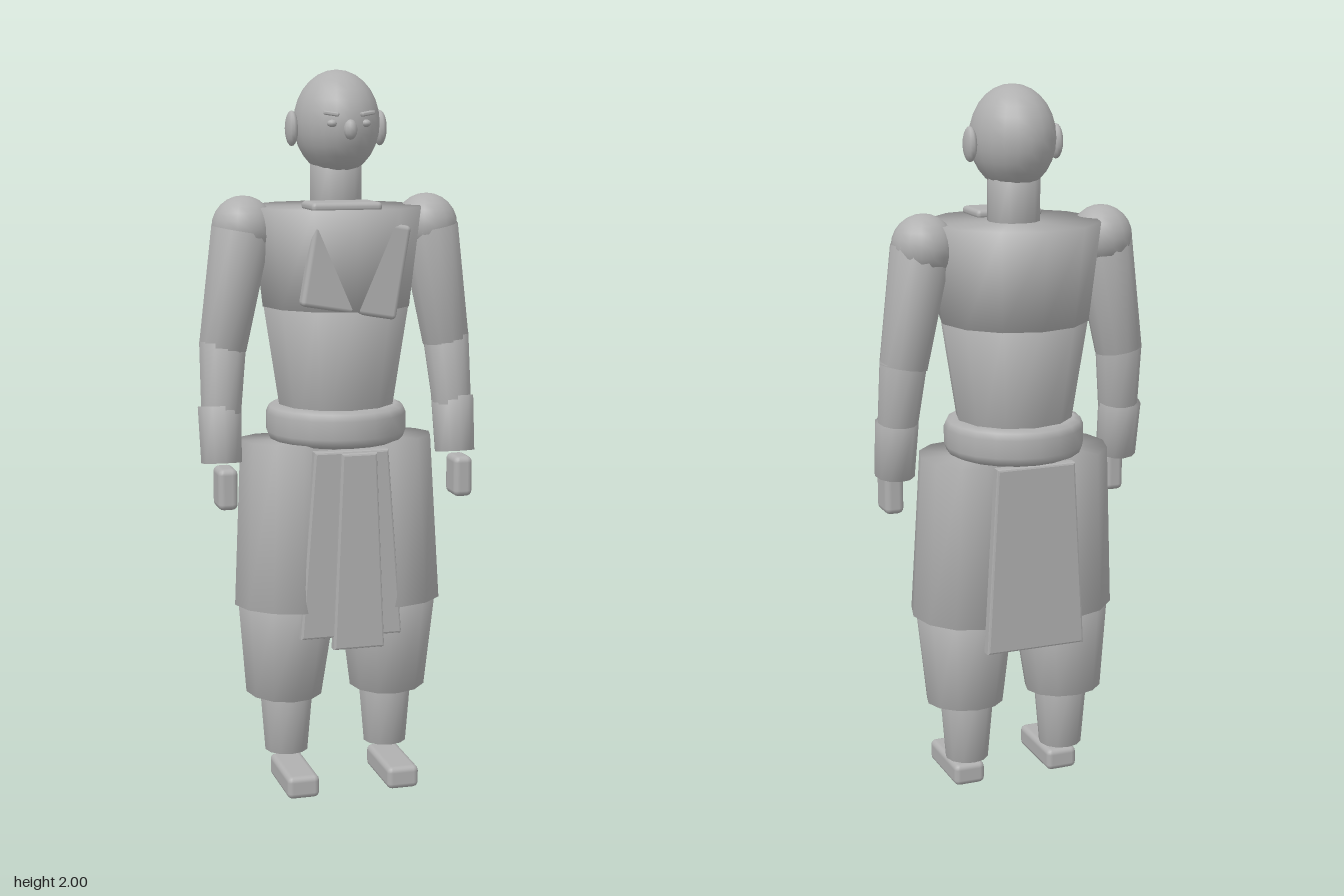
import * as THREE from 'three';
import { mergeVertices } from 'three/addons/utils/BufferGeometryUtils.js';
import { RoundedBoxGeometry } from 'three/addons/geometries/RoundedBoxGeometry.js';

const clay = new THREE.MeshStandardMaterial({ color: 0xb0b0b0 });
clay.name = 'clay grey';

// Weld caps to walls so the shading rolls softly over the rims
function soften(geometry) {
  geometry.deleteAttribute('normal');
  geometry.deleteAttribute('uv');
  const welded = mergeVertices(geometry, 1e-4);
  welded.computeVertexNormals();
  return welded;
}

function add(parent, name, geometry, x = 0, y = 0, z = 0) {
  const mesh = new THREE.Mesh(geometry, clay);
  mesh.name = name;
  mesh.position.set(x, y, z);
  parent.add(mesh);
  return mesh;
}

// Tapered tube from a top point to a bottom point
function limb(parent, name, top, bottom, rTop, rBottom, sides = 12) {
  const a = new THREE.Vector3(...top), b = new THREE.Vector3(...bottom);
  const dir = a.clone().sub(b);
  const mesh = add(parent, name, soften(new THREE.CylinderGeometry(rTop, rBottom, dir.length(), sides)));
  mesh.position.copy(a).add(b).multiplyScalar(0.5);
  mesh.quaternion.setFromUnitVectors(new THREE.Vector3(0, 1, 0), dir.normalize());
  return mesh;
}

function ball(parent, name, x, y, z, rx, ry, rz, w = 16, h = 12) {
  const mesh = add(parent, name, new THREE.SphereGeometry(1, w, h), x, y, z);
  mesh.scale.set(rx, ry, rz);
  return mesh;
}

function box(parent, name, w, h, d, x, y, z, r = 0.01) {
  return add(parent, name, new RoundedBoxGeometry(w, h, d, 2, r), x, y, z);
}

// Flared cloth panel hanging from yTop to yBottom, with a slim bevel
function panel(parent, name, x, yTop, yBottom, halfTop, halfBottom, z0, z1) {
  const s = new THREE.Shape([
    new THREE.Vector2(-halfTop, yTop), new THREE.Vector2(-halfBottom, yBottom),
    new THREE.Vector2(halfBottom, yBottom), new THREE.Vector2(halfTop, yTop),
  ]);
  const b = 0.006;
  const g = new THREE.ExtrudeGeometry(s, {
    depth: z1 - z0 - 2 * b, bevelSize: b, bevelThickness: b, bevelOffset: -b, bevelSegments: 2,
  });
  return add(parent, name, g, x, 0, z0 + b);
}

export function createModel() {
  const model = new THREE.Group();
  model.name = 'robedFigure';

  // Head, neck and face
  const head = new THREE.Group();
  head.name = 'head';
  model.add(head);
  ball(head, 'skull', 0, 1.858, 0.008, 0.116, 0.142, 0.139, 20, 14);
  limb(head, 'neck', [0, 1.76, 0], [0, 1.6, 0], 0.073, 0.073);
  ball(head, 'nose', 0, 1.842, 0.148, 0.019, 0.027, 0.018, 10, 8);
  for (const s of [1, -1]) {
    ball(head, 'ear', s * 0.125, 1.843, 0.003, 0.017, 0.048, 0.035, 12, 10);
    ball(head, 'eye', s * 0.047, 1.858, 0.133, 0.014, 0.01, 0.012, 10, 8);
    const brow = box(head, 'brow', 0.042, 0.011, 0.018, s * 0.05, 1.884, 0.137, 0.004);
    brow.rotation.set(0, s * 0.3, s * 0.15);
  }

  // Torso
  limb(model, 'chest', [0, 1.633, 0], [0, 1.36, 0], 0.24, 0.208);
  limb(model, 'waist', [0, 1.362, 0], [0, 1.0, 0], 0.206, 0.15);
  const beltProfile = [[0, 0.982], [0.17, 0.982], [0.188, 0.99], [0.196, 1.01], [0.196, 1.06],
    [0.188, 1.078], [0.17, 1.086], [0, 1.086]].map(([r, y]) => new THREE.Vector2(r, y));
  add(model, 'belt', new THREE.LatheGeometry(beltProfile, 20));

  // Crossed robe flap and its fold on the shoulder line
  const flap = box(model, 'robeFlap', 0.268, 0.255, 0.042, 0.002, 1.483, 0.185, 0.012);
  flap.rotation.z = -0.17;
  box(model, 'collarFold', 0.195, 0.026, 0.124, -0.024, 1.64, 0.145, 0.012);

  // Apron and back cloth
  panel(model, 'apron', 0, 0.975, 0.45, 0.105, 0.145, 0.13, 0.168);
  panel(model, 'apronStrip', 0.018, 0.97, 0.418, 0.05, 0.073, 0.148, 0.182);
  panel(model, 'backCloth', 0, 0.98, 0.45, 0.115, 0.145, -0.171, -0.135);

  // Arms and legs
  for (const s of [1, -1]) {
    const arm = new THREE.Group();
    arm.name = s > 0 ? 'leftArm' : 'rightArm';
    model.add(arm);
    ball(arm, 'shoulder', s * 0.262, 1.577, 0, 0.087, 0.087, 0.088);
    limb(arm, 'upperArm', [s * 0.268, 1.57, 0.005], [s * 0.322, 1.25, 0.003], 0.084, 0.067);
    limb(arm, 'forearm', [s * 0.322, 1.265, 0.003], [s * 0.337, 1.02, 0.035], 0.066, 0.053);
    limb(arm, 'cuff', [s * 0.337, 1.092, 0.022], [s * 0.338, 0.938, 0.046], 0.061, 0.057);
    box(arm, 'hand', 0.055, 0.115, 0.088, s * 0.337, 0.877, 0.088, 0.017);

    const leg = new THREE.Group();
    leg.name = s > 0 ? 'leftLeg' : 'rightLeg';
    model.add(leg);
    limb(leg, 'upperTrouser', [s * 0.13, 0.985, 0], [s * 0.143, 0.52, 0.018], 0.145, 0.155);
    limb(leg, 'lowerTrouser', [s * 0.146, 0.535, 0.014], [s * 0.153, 0.26, -0.002], 0.142, 0.11);
    limb(leg, 'shin', [s * 0.146, 0.3, 0], [s * 0.147, 0.085, 0], 0.08, 0.062);
    box(leg, 'foot', 0.092, 0.064, 0.222, s * 0.145, 0.032, 0.085, 0.016);
  }
  return model;
}
